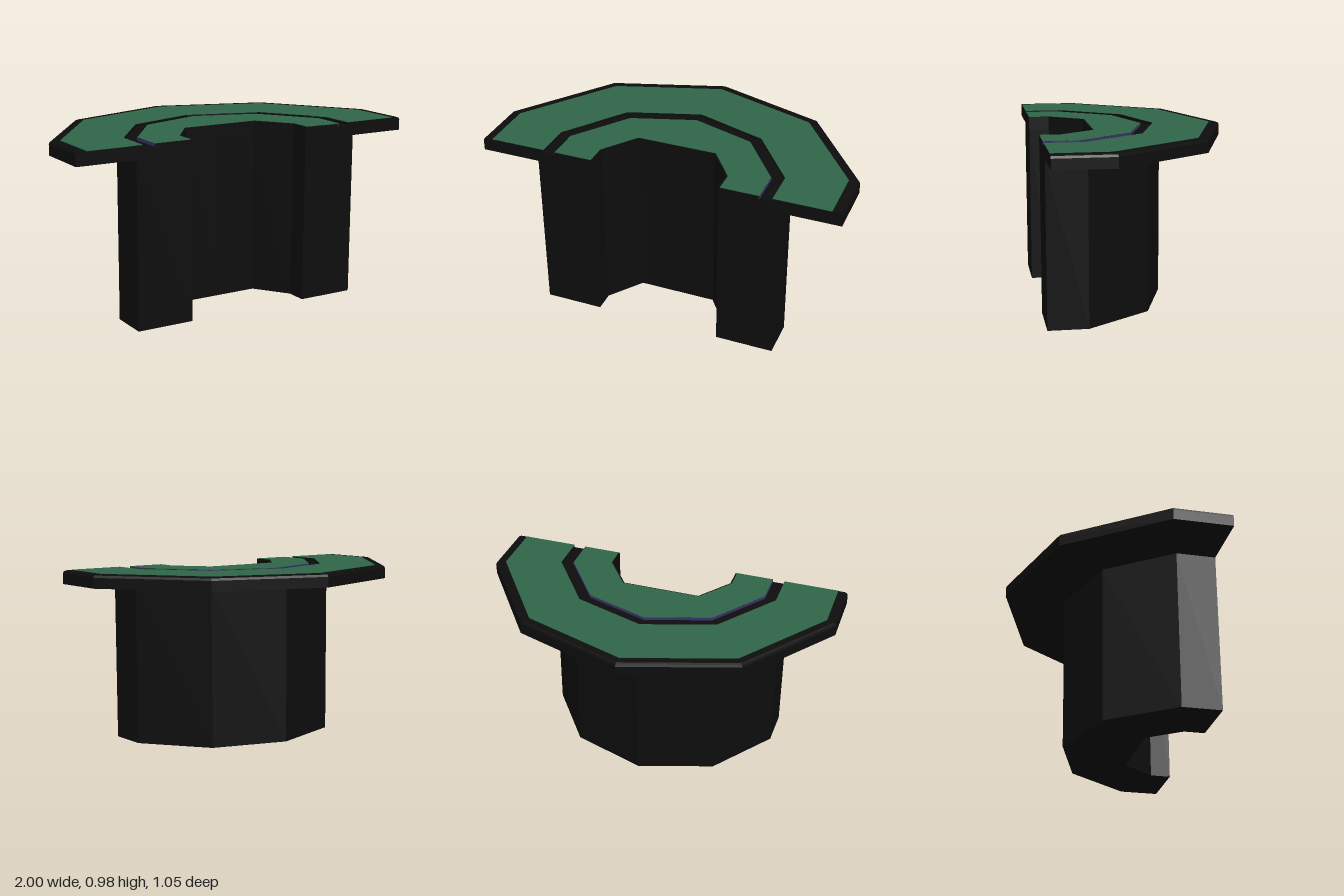
import * as THREE from 'three';

const DEG = Math.PI / 180;
const FRONT_Z = 0.525; // plane of the straight front cut
const ANGLES = [-90, -72, -36, 0, 36, 72, 90];

// Point on the half-decagon path whose straight sides lie at x = +-w.
function ringPoint(w, y, deg) {
  if (Math.abs(deg) === 90) return [Math.sign(deg) * w, y, FRONT_Z];
  let r = w / Math.sin(72 * DEG);
  if (deg === 0 && w < 0.4) r *= Math.cos(36 * DEG); // dealer recess has a flat back
  return [r * Math.sin(deg * DEG), y, FRONT_Z - r * Math.cos(deg * DEG)];
}

// Sweeps a counter-clockwise [w, y] section round the half decagon and caps both ends.
function sweep(name, section, material) {
  const pos = [];
  const tri = (...pts) => pts.forEach((p) => pos.push(...p));
  const columns = ANGLES.map((a) => section.map(([w, y]) => ringPoint(w, y, a)));
  for (let i = 0; i < columns.length - 1; i++) {
    const a = columns[i], b = columns[i + 1];
    section.forEach((_, j) => {
      const k = (j + 1) % section.length;
      tri(a[j], a[k], b[k]);
      tri(a[j], b[k], b[j]);
    });
  }
  const first = columns[0], last = columns[columns.length - 1];
  const contour = section.map(([w, y]) => new THREE.Vector2(w, y));
  for (const [i, j, k] of THREE.ShapeUtils.triangulateShape(contour, [])) {
    tri(last[i], last[j], last[k]);
    tri(first[i], first[k], first[j]);
  }
  const geometry = new THREE.BufferGeometry();
  geometry.setAttribute('position', new THREE.Float32BufferAttribute(pos, 3));
  geometry.computeVertexNormals();
  const mesh = new THREE.Mesh(geometry, material);
  mesh.name = name;
  return mesh;
}

const box = (w0, w1, y0, y1) => [[w0, y0], [w1, y0], [w1, y1], [w0, y1]];

export function createModel() {
  const group = new THREE.Group();
  group.name = 'cardTable';
  const black = new THREE.MeshStandardMaterial({ color: 0x0d0d0d, flatShading: true });
  const green = new THREE.MeshStandardMaterial({ color: 0x2f6548, flatShading: true });
  const violet = new THREE.MeshStandardMaterial({ color: 0x3a2f6b, flatShading: true });

  // Pedestal wrapped round the dealer recess
  group.add(sweep('pedestal', box(0.352, 0.672, 0, 0.9), black));

  // Table top with chamfered rim and a shallow groove
  group.add(sweep('tableTop', [
    [0.352, 0.9], [1, 0.9], [1, 0.957], [0.995, 0.969], [0.983, 0.974],
    [0.638, 0.974], [0.638, 0.959], [0.57, 0.959], [0.57, 0.974], [0.352, 0.974],
  ], black));

  // Playing surfaces on both sides of the groove
  group.add(sweep('outerFelt', box(0.638, 0.945, 0.972, 0.976), green));
  group.add(sweep('innerFelt', box(0.36, 0.57, 0.972, 0.976), green));

  // Thin coloured strip on the groove wall
  group.add(sweep('grooveStrip', box(0.566, 0.572, 0.958, 0.973), violet));
  return group;
}
